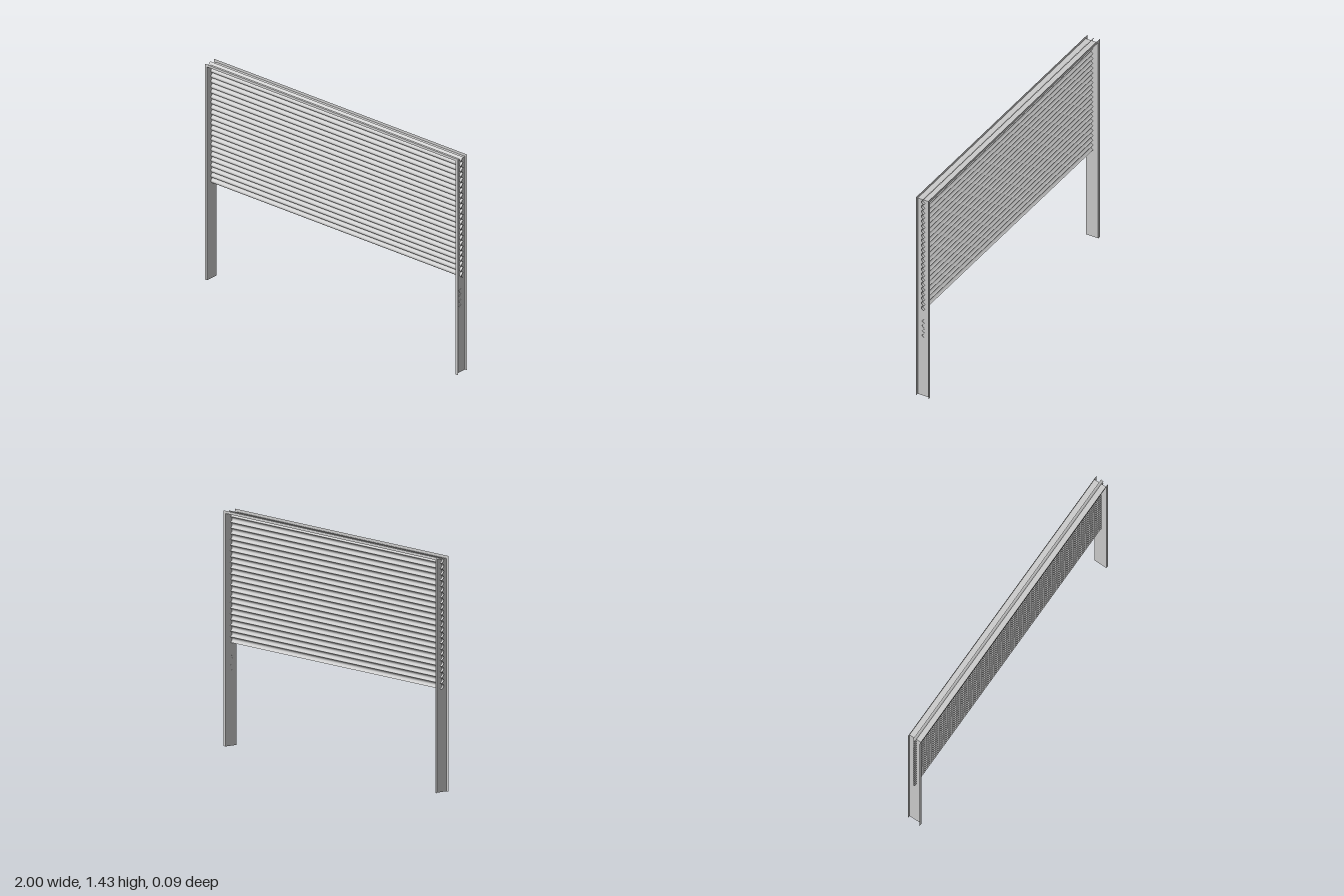
import * as THREE from 'three';

const W = 1, INNER = 0.982;        // outer and inner half width
const TOP = 1.432, HEAD = 1.415;   // outer top and underside of the head rail
const DEPTH = 0.043;               // half depth of the channel
const SLATS = 23, BOTTOM = 0.628;

const sheet = new THREE.MeshStandardMaterial({ color: 0xcccccc, side: THREE.DoubleSide });

function add(group, name, geometry, x = 0, y = 0, z = 0) {
  const mesh = new THREE.Mesh(geometry, sheet);
  mesh.name = name;
  mesh.position.set(x, y, z);
  group.add(mesh);
  return mesh;
}

// Curved strip bulging to +z, with a small interlocking curl at its top
function slatGeometry(width, height) {
  const rows = 14;
  const g = new THREE.PlaneGeometry(width, height, 1, rows);
  const p = g.attributes.position;
  for (let i = 0; i < p.count; i++) {
    const t = p.getY(i) / height + 0.5;            // 0 at the bottom, 1 at the top
    p.setZ(i, -0.008 + 0.016 * Math.pow(Math.sin(Math.PI * t), 0.8));
  }
  g.computeVertexNormals();
  return g;
}

export function createModel() {
  const model = new THREE.Group();
  model.name = 'rollerShutter';

  // Front and back flanges: one thin arch-shaped sheet each
  const arch = new THREE.Shape([
    [-W, 0], [-INNER, 0], [-INNER, HEAD], [INNER, HEAD],
    [INNER, 0], [W, 0], [W, TOP], [-W, TOP],
  ].map(([x, y]) => new THREE.Vector2(x, y)));
  const flange = new THREE.ShapeGeometry(arch);
  add(model, 'frontFlange', flange, 0, 0, DEPTH);
  add(model, 'backFlange', flange, 0, 0, -DEPTH);

  // Webs joining the flanges: two posts and the head rail
  for (const [name, side] of [['leftPostWeb', 1], ['rightPostWeb', -1]]) {
    const web = add(model, name, new THREE.PlaneGeometry(2 * DEPTH, HEAD), side * INNER, HEAD / 2);
    web.rotation.y = side * Math.PI / 2;
  }
  const head = add(model, 'headRailWeb', new THREE.PlaneGeometry(2 * INNER, 2 * DEPTH), 0, HEAD);
  head.rotation.x = -Math.PI / 2;

  // Curtain of slats, running through the post webs to the outer edges
  const curtain = new THREE.Group();
  curtain.name = 'curtain';
  model.add(curtain);
  const pitch = (TOP - 0.004 - BOTTOM) / SLATS;
  const slat = slatGeometry(2 * W, pitch);
  for (let i = 0; i < SLATS; i++) add(curtain, 'slat', slat, 0, BOTTOM + pitch * (i + 0.5));

  // Small clips on the outside of the left post
  const clip = slatGeometry(0.003, pitch * 0.75);
  for (let i = 0; i < 4; i++) add(model, 'postClip', clip, INNER + 0.001, 0.435 + pitch * i, 0.004);

  return model;
}
